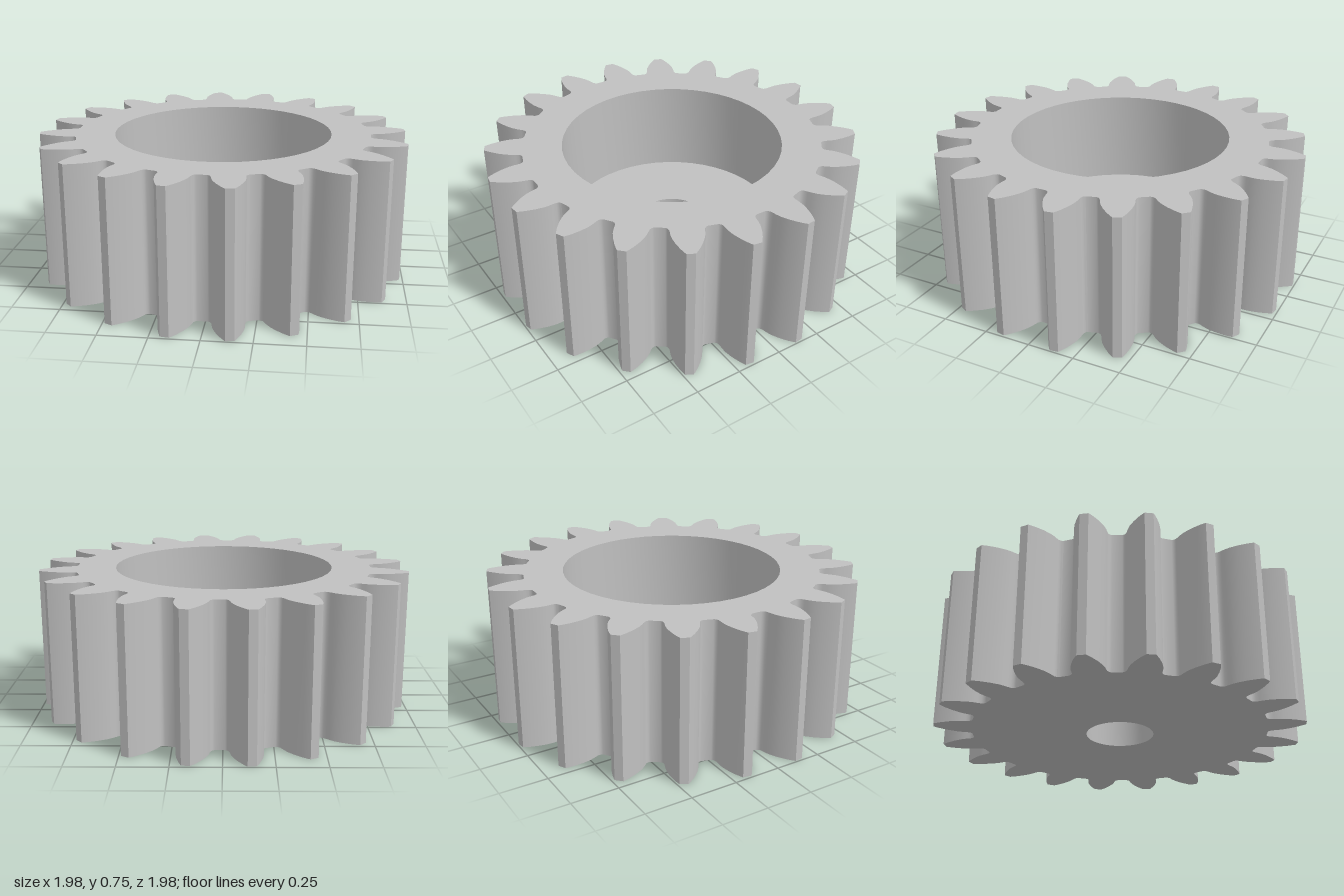
import * as THREE from 'three';
import { toCreasedNormals } from 'three/addons/utils/BufferGeometryUtils.js';

const TEETH = 20, HEIGHT = 0.755, FLOOR = 0.245, BORE = 0.59, HOLE = 0.182, SEGMENTS = 48;
const FIRST_TOOTH = THREE.MathUtils.degToRad(80);

// Half of one tooth from root to tip: [height along the tooth, half width]
const FLANK = [
  [0.794, 0.1], [0.8, 0.091], [0.812, 0.084], [0.83, 0.082], [0.85, 0.081],
  [0.88, 0.076], [0.92, 0.063], [0.96, 0.045], [0.985, 0.031], [0.999, 0.022],
];

// Counter-clockwise gear outline
function gearOutline() {
  const tooth = [
    ...FLANK.map(([h, w]) => new THREE.Vector2(h, -w)),
    ...FLANK.map(([h, w]) => new THREE.Vector2(h, w)).reverse(),
  ];
  const origin = new THREE.Vector2();
  const points = [];
  for (let i = 0; i < TEETH; i++) {
    const angle = FIRST_TOOTH + (i * Math.PI * 2) / TEETH;
    tooth.forEach((p) => points.push(p.clone().rotateAround(origin, angle)));
  }
  return points;
}

// Flat gear-shaped face with a round opening
function gearFace(outline, radius) {
  const shape = new THREE.Shape(outline);
  const opening = [];
  for (let i = 0; i < SEGMENTS; i++) {
    const a = (-i * Math.PI * 2) / SEGMENTS;
    opening.push(new THREE.Vector2(radius * Math.cos(a), radius * Math.sin(a)));
  }
  shape.holes.push(new THREE.Path(opening));
  return new THREE.ShapeGeometry(shape);
}

// Upright wall that follows the outline
function toothWall(outline) {
  const positions = [];
  outline.forEach((a, i) => {
    const b = outline[(i + 1) % outline.length];
    positions.push(a.x, 0, -a.y, b.x, 0, -b.y, b.x, HEIGHT, -b.y);
    positions.push(a.x, 0, -a.y, b.x, HEIGHT, -b.y, a.x, HEIGHT, -a.y);
  });
  const geometry = new THREE.BufferGeometry();
  geometry.setAttribute('position', new THREE.Float32BufferAttribute(positions, 3));
  return toCreasedNormals(geometry, 0.75);
}

export function createModel() {
  const group = new THREE.Group();
  group.name = 'spurGear';
  const steel = new THREE.MeshStandardMaterial({ color: 0xc0c0c0 });
  steel.name = 'steelGrey';
  const add = (name, geometry) => {
    const mesh = new THREE.Mesh(geometry, steel);
    mesh.name = name;
    group.add(mesh);
  };
  const outline = gearOutline();

  // Toothed rim
  add('teeth', toothWall(outline));

  // Top and bottom faces
  add('topFace', gearFace(outline, BORE).rotateX(-Math.PI / 2).translate(0, HEIGHT, 0));
  const bottom = gearFace(outline, HOLE).rotateX(-Math.PI / 2);
  const index = bottom.index.array;
  for (let i = 0; i < index.length; i += 3) {
    [index[i], index[i + 1]] = [index[i + 1], index[i]];
  }
  bottom.computeVertexNormals();
  add('bottomFace', bottom);

  // Wide recess, its floor and the axle hole
  const profile = [[BORE, HEIGHT], [BORE, FLOOR], [HOLE, FLOOR], [HOLE, 0]]
    .map(([r, y]) => new THREE.Vector2(r, y));
  add('recessAndAxleHole', toCreasedNormals(new THREE.LatheGeometry(profile, SEGMENTS), 0.6));

  return group;
}
